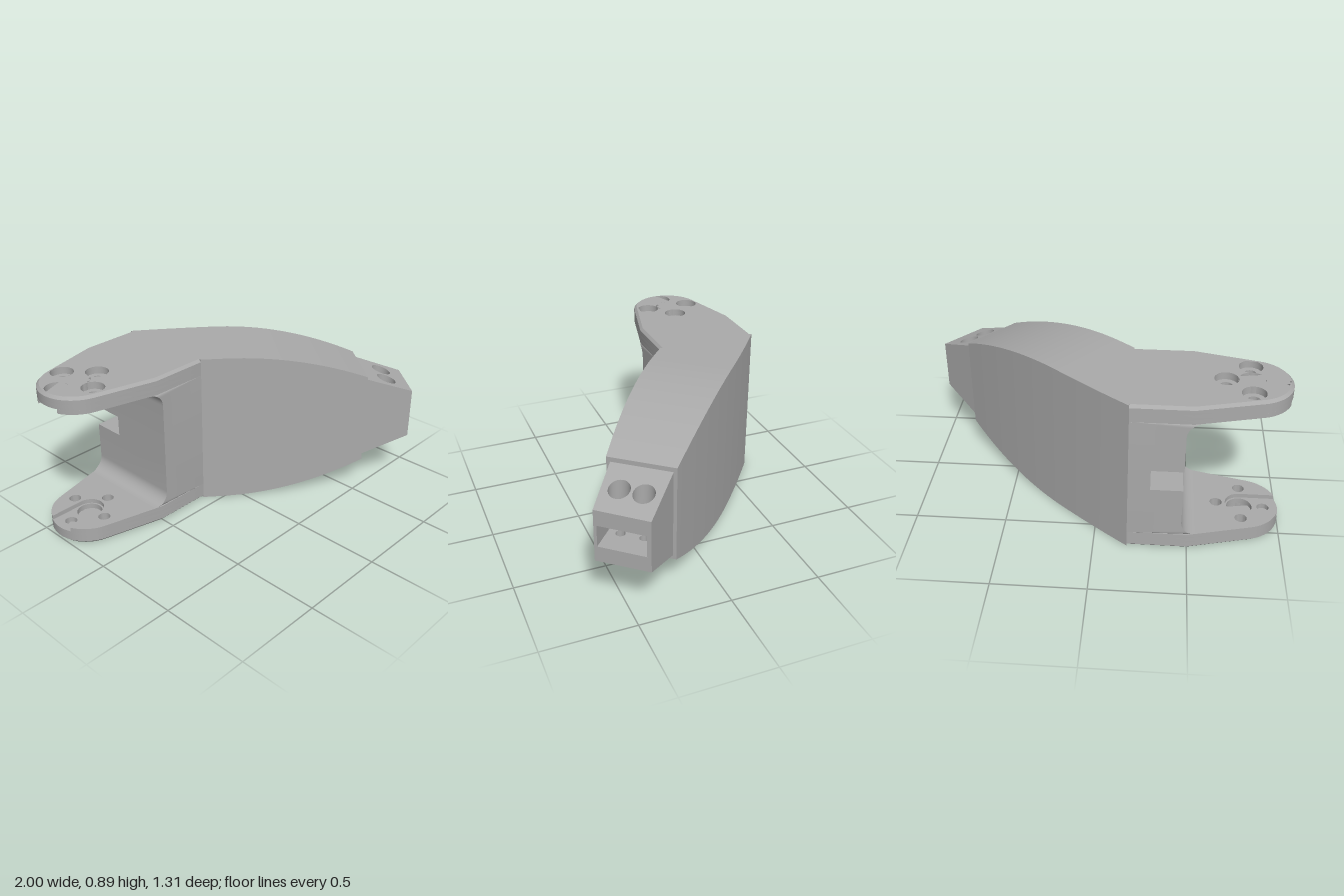
import * as THREE from 'three';
import { toCreasedNormals } from 'three/addons/utils/BufferGeometryUtils.js';

const MID = 0.445;               // half height; the part is symmetric above and below
const HUB = [-0.79, -0.37];      // fork pivot in plan (x, z)
const HUB_R = 0.21;

export function createModel() {
  const grey = new THREE.MeshStandardMaterial({ color: 0xaaaaaa, side: THREE.DoubleSide });
  grey.name = 'grey';
  const model = new THREE.Group();
  model.name = 'armBracket';

  function add(name, geometry) {
    const mesh = new THREE.Mesh(geometry, grey);
    mesh.name = name;
    model.add(mesh);
  }

  // Vertical prism from a plan outline; each level maps (x, z) to a point
  const flat = (h) => (x, z) => [x, MID + h, z];
  function prism(name, points, holes, low, high) {
    const shape = new THREE.Shape(points.map(([x, z]) => new THREE.Vector2(x, -z)));
    for (const [x, z, r] of holes) {
      shape.holes.push(new THREE.Path().absarc(x, -z, r, 0, Math.PI * 2, true));
    }
    const geo = new THREE.ExtrudeGeometry(shape, { depth: 1, bevelEnabled: false, curveSegments: 14 });
    geo.rotateX(-Math.PI / 2);
    const p = geo.attributes.position;
    for (let i = 0; i < p.count; i++) {
      const level = p.getY(i) < 0.5 ? low : high;
      p.setXYZ(i, ...level(p.getX(i), p.getZ(i)));
    }
    add(name, toCreasedNormals(geo, 0.5));
  }
  // Same prism placed above (s = 1) or below (s = -1) the middle
  function halfPrism(s, name, points, holes, inner, outer) {
    if (s > 0) prism(name, points, holes, inner, outer);
    else prism(name, points, holes, outer, inner);
  }

  // Smooth patch from a function of u and v
  function patch(name, nu, nv, fn) {
    const geo = new THREE.PlaneGeometry(1, 1, nu, nv);
    const p = geo.attributes.position;
    for (let i = 0; i < p.count; i++) p.setXYZ(i, ...fn(p.getX(i) + 0.5, p.getY(i) + 0.5));
    geo.computeVertexNormals();
    add(name, geo);
  }

  // Four flat walls joining two upright rectangles
  const rect = (a, b, h) => [[a, -h], [b, -h], [b, h], [a, h]].map(([q, y]) => [q[0], MID + y, q[1]]);
  function ring(name, a, b) {
    const pos = [];
    for (let i = 0; i < 4; i++) {
      const j = (i + 1) % 4;
      for (const q of [a[i], a[j], b[j], a[i], b[j], b[i]]) pos.push(...q);
    }
    const geo = new THREE.BufferGeometry();
    geo.setAttribute('position', new THREE.Float32BufferAttribute(pos, 3));
    geo.computeVertexNormals();
    add(name, geo);
  }

  // Cable channel edges, running back from the tip
  const DIR = [0.757, 0.654], SLOT_H = 0.06;
  const back = (q, t) => [q[0] - DIR[0] * t, q[1] - DIR[1] * t];
  const slotN = [0.985, 0.447], slotP = [0.82, 0.638];
  const baseN = back(slotN, 0.285), baseP = back(slotP, 0.279);
  const startN = [-0.18, -0.559], startP = [-0.18, -0.226];

  // Fork plate outline: rounded end, tangent flanks, straight root
  const arc = (r, a0, a1, n) => Array.from({ length: n + 1 }, (_, i) => {
    const a = a0 + (a1 - a0) * i / n;
    return [HUB[0] + r * Math.cos(a), HUB[1] + r * Math.sin(a)];
  });
  const T = 1.818, W = 0.08, G = Math.PI - Math.asin(W / HUB_R);
  const rootP = [[-0.18, -0.08], [-0.5, -0.08]], rootN = [[-0.5, -0.66], [-0.18, -0.66]];
  const outline = [...rootP, ...arc(HUB_R, T, Math.PI * 2 - T, 24), ...rootN];
  const grooved = [...rootP, ...arc(HUB_R, T, G, 10), ...arc(W, Math.PI / 2, -Math.PI / 2, 12),
    ...arc(HUB_R, Math.PI * 2 - G, Math.PI * 2 - T, 10), ...rootN];

  const bolts = (r) => [[0.13, 0], [-0.13, 0], [0, 0.13], [0, -0.13]]
    .map(([x, z]) => [HUB[0] + x, HUB[1] + z, r]);
  const bore = [...HUB, 0.07];
  const wide = [bore, ...bolts(0.063)], narrow = [bore, ...bolts(0.033)];

  // Chamfered outer level: pulls in the rim, leaves the holes
  const chamfer = (h) => (x, z) => {
    const dx = x - HUB[0], dz = z - HUB[1];
    if (Math.hypot(dx, dz) < 0.2) return [x, MID + h, z];
    if (dx < -0.045) {
      const k = 1 - 0.015 / HUB_R;
      return [HUB[0] + dx * k, MID + h, HUB[1] + dz * k];
    }
    return [x, MID + h, z - 0.015 * Math.sign(dz)];
  };

  for (const s of [1, -1]) {
    const side = s > 0 ? 'upper' : 'lower';

    // Fork plate in layers: grooved inside, counterbored outside
    halfPrism(s, side + 'PlateGroove', grooved, [bolts(0.033)[0], ...bolts(0.033).slice(2)],
      flat(s * 0.35), flat(s * 0.375));
    halfPrism(s, side + 'PlateCore', outline, narrow, flat(s * 0.375), flat(s * 0.405));
    halfPrism(s, side + 'PlateCounterbore', outline, wide, flat(s * 0.405), flat(s * 0.43));
    halfPrism(s, side + 'PlateChamfer', outline, wide, flat(s * 0.43), chamfer(s * 0.445));

    // Web with a fillet into the plate
    const profile = [[-0.18, 0.06], [-0.465, 0.06]];
    for (let i = 0; i <= 10; i++) {
      const a = Math.PI / 2 * i / 10;
      profile.push([-0.545 + 0.08 * Math.cos(a), 0.27 + 0.08 * Math.sin(a)]);
    }
    profile.push([-0.18, 0.35]);
    const web = new THREE.ExtrudeGeometry(
      new THREE.Shape(profile.map(([x, h]) => new THREE.Vector2(x, MID + s * h))),
      { depth: 0.58, bevelEnabled: false });
    web.translate(0, 0, -0.66);
    const p = web.attributes.position;
    for (let i = 0; i < p.count; i++) {
      const inset = Math.max(0, -0.5 - p.getX(i)) * 0.25;
      p.setZ(i, HUB[1] + (p.getZ(i) - HUB[1]) * (1 - inset / 0.29));
    }
    add(side + 'Web', toCreasedNormals(web, 0.5));
  }

  // Web beside the cable channel
  prism('webFrontOfChannel', [[-0.465, -0.472], [-0.465, -0.08], [-0.18, -0.08], startP], [],
    flat(-SLOT_H), flat(SLOT_H));
  prism('webBehindChannel', [[-0.296, -0.66], startN, [-0.18, -0.66]], [],
    flat(-SLOT_H), flat(SLOT_H));

  // Arm: two plan curves, height falling off along the arm
  const curve = (a, b, c) => {
    const k = new THREE.QuadraticBezierCurve(...[a, b, c].map((q) => new THREE.Vector2(...q)));
    return (t) => k.getPoint(t).toArray();
  };
  const edgeP = curve([-0.18, -0.08], [0.18, 0.23], [0.57, 0.5]);
  const edgeN = curve([-0.18, -0.66], [0.35, -0.265], [0.8, 0.22]);
  const along = (x, z) => 0.773 * x + 0.635 * z;
  const armH = (x, z) => MID - 0.177 * Math.max(0, (along(x, z) + 0.07) / 0.83) ** 2;
  const across = (u, v) => {
    const a = edgeP(u), b = edgeN(u);
    return [a[0] + (b[0] - a[0]) * v, a[1] + (b[1] - a[1]) * v];
  };
  const at = (q, f) => [q[0], MID + f * armH(...q), q[1]];
  patch('armTop', 28, 12, (u, v) => at(across(u, v), 1));
  patch('armBottom', 28, 12, (u, v) => at(across(u, 1 - v), -1));
  patch('armFrontSide', 28, 1, (u, v) => at(edgeP(u), v * 2 - 1));
  patch('armBackSide', 28, 1, (u, v) => at(edgeN(1 - u), v * 2 - 1));
  ring('armEndWall', rect(edgeP(1), edgeN(1), armH(...edgeP(1))), rect(baseP, baseN, SLOT_H));
  ring('armStartWall', rect(startP, startN, SLOT_H), rect(edgeP(0), edgeN(0), MID));
  ring('cableChannel', rect(baseP, baseN, SLOT_H), rect(startP, startN, SLOT_H));

  // Tapered tip with screw holes and an end slot
  const A = [0.79, 0.235], B = [1.0, 0.43], C = [0.81, 0.65], D = [0.585, 0.485];
  const screws = (r) => [[0.84, 0.405, r], [0.76, 0.5, r]];
  const taper = (s) => (x, z) => [x, MID + s * (0.245 - 0.1 * (along(x, z) - 0.76) / 0.283), z];
  for (const s of [1, -1]) {
    const side = s > 0 ? 'upper' : 'lower';
    halfPrism(s, side + 'TipCore', [A, B, C, D], screws(0.025), flat(s * SLOT_H), flat(s * 0.1));
    halfPrism(s, side + 'TipTaper', [A, B, C, D], screws(0.055), flat(s * 0.1), taper(s));
  }
  prism('tipBackWall', [A, B, slotN, baseN], [], flat(-SLOT_H), flat(SLOT_H));
  prism('tipFrontWall', [D, baseP, slotP, C], [], flat(-SLOT_H), flat(SLOT_H));

  return model;
}
